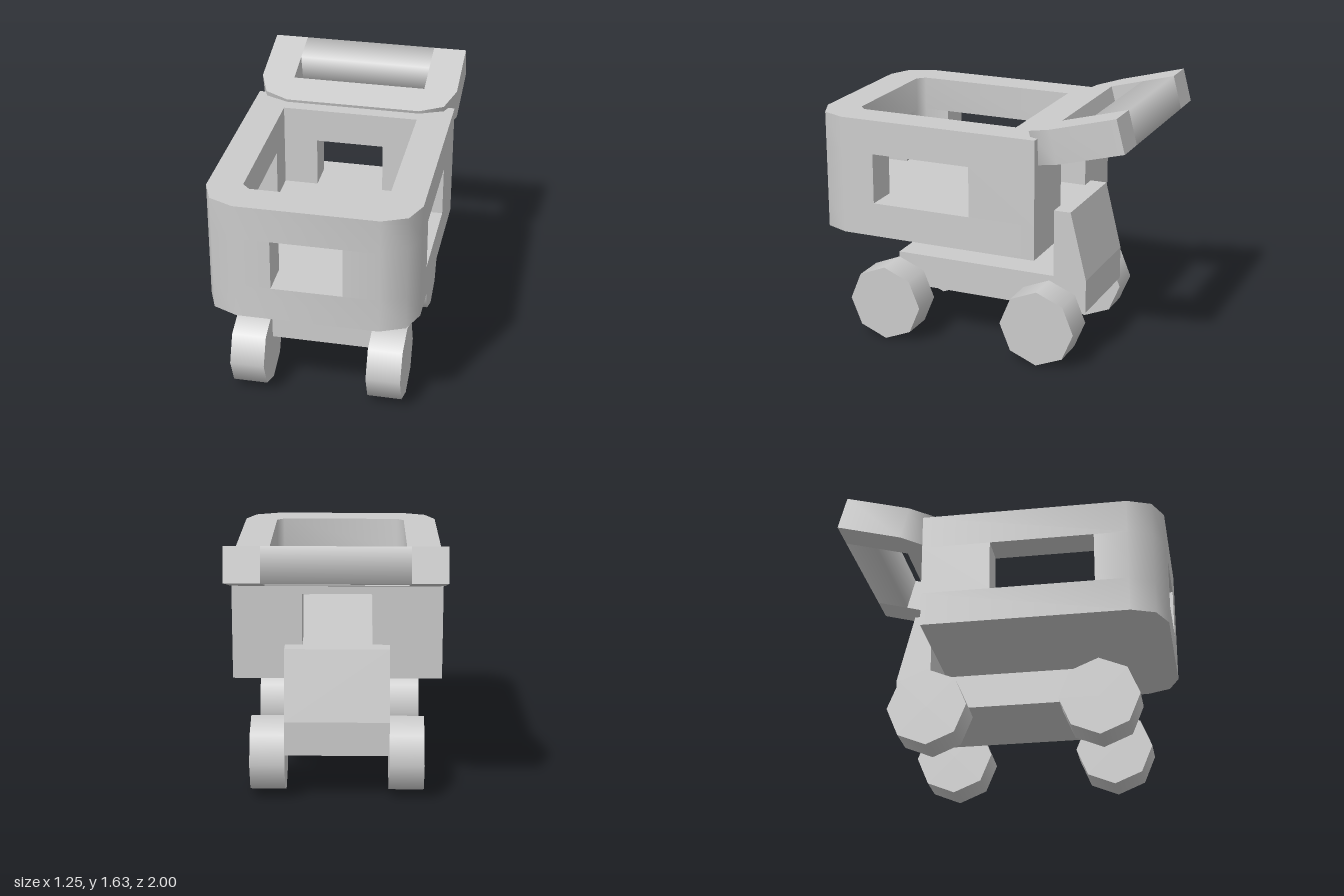
import * as THREE from 'three';
import { mergeGeometries, toCreasedNormals } from 'three/addons/utils/BufferGeometryUtils.js';

const rad = THREE.MathUtils.degToRad;
const material = new THREE.MeshStandardMaterial({ color: 0xcccccc });

const points = (list) => list.map(([a, b]) => new THREE.Vector2(a, b));
const mirrorX = (list) => list.map(([x, z]) => [-x, z]);
// Closes a half outline (x > 0) into a symmetrical one
const symmetric = (half) => [...half, ...mirrorX(half).reverse()];

// Extrudes a floor-plan outline of [x, z] corners upwards from y0 to y1.
// A hole is wound opposite to the outline so that its walls face inwards.
function slab(outline, y0, y1, hole) {
  const plan = (list) => points(list.map(([x, z]) => [x, -z]));
  const shape = new THREE.Shape(plan(outline));
  if (hole) shape.holes.push(new THREE.Path(plan(hole).reverse()));
  const g = new THREE.ExtrudeGeometry(shape, { depth: y1 - y0, bevelEnabled: false });
  return g.rotateX(-Math.PI / 2).translate(0, y0, 0);
}

function mesh(name, geometry) {
  const m = new THREE.Mesh(geometry, material);
  m.name = name;
  return m;
}

function createBasket() {
  const outer = symmetric([[0.627, -0.46], [0.627, 0.79], [0.567, 0.935], [0.42, 1]]);
  const inner = symmetric([[0.42, -0.257], [0.42, 0.745], [0.375, 0.79]]);
  // Corner posts left between the four window openings
  const frontPost = [[0.21, 1], [0.42, 1], [0.567, 0.935], [0.627, 0.79], [0.627, 0.587],
    [0.42, 0.587], [0.42, 0.745], [0.375, 0.79], [0.21, 0.79]];
  const backPost = [[0.627, -0.043], [0.627, -0.46], [0.21, -0.46], [0.21, -0.257],
    [0.42, -0.257], [0.42, -0.043]];
  const parts = [slab(outer, 0.72, 0.93), slab(outer, 1.24, 1.45, inner)];
  for (const post of [frontPost, backPost]) {
    parts.push(slab(post, 0.93, 1.24), slab(mirrorX(post), 0.93, 1.24));
  }
  return mesh('basket', toCreasedNormals(mergeGeometries(parts), rad(50)));
}

function createChassis() {
  // Side profile of [z, y] corners: flat base with a tapered post at the back
  const profile = [[0.585, 0.302], [0.585, 0.51], [-0.46, 0.51], [-0.46, 0.93],
    [-0.565, 0.93], [-0.67, 0.51], [-0.67, 0.302]];
  const g = new THREE.ExtrudeGeometry(new THREE.Shape(points(profile)),
    { depth: 0.626, bevelEnabled: false });
  return mesh('chassis', g.rotateY(-Math.PI / 2).translate(0.313, 0, 0));
}

function createHandle() {
  const handle = new THREE.Group();
  handle.name = 'handle';
  const thick = 0.207;
  // U-shaped frame, open at the back where the grip sits
  const half = [[0.42, 0.414], [0.42, 0], [0.627, 0], [0.627, 0.414], [0.567, 0.568], [0.42, 0.63]];
  const frame = toCreasedNormals(slab(symmetric(half), 0, thick), rad(50));
  // Square grip with soft shading, flush with the frame ends
  const r = thick / Math.SQRT2;
  const grip = new THREE.CylinderGeometry(r, r, 0.84, 4, 1, true, Math.PI / 4);
  grip.rotateZ(Math.PI / 2).translate(0, thick / 2, thick / 2);
  handle.add(mesh('handleFrame', frame), mesh('handleGrip', grip));
  handle.rotation.x = rad(15);
  handle.position.set(0, 1.432, -1);
  return handle;
}

function createWheels() {
  const wheels = new THREE.Group();
  wheels.name = 'wheels';
  const radius = 0.238;
  const g = new THREE.CylinderGeometry(radius, radius, 0.21, 8).rotateZ(Math.PI / 2);
  for (const [end, z] of [['front', 0.585], ['back', -0.433]]) {
    for (const [side, x] of [['Left', 0.418], ['Right', -0.418]]) {
      const wheel = mesh(`${end}${side}Wheel`, g);
      wheel.position.set(x, radius, z);
      wheels.add(wheel);
    }
  }
  return wheels;
}

export function createModel() {
  const cart = new THREE.Group();
  cart.name = 'shoppingCart';
  cart.add(createBasket(), createChassis(), createHandle(), createWheels());
  return cart;
}
